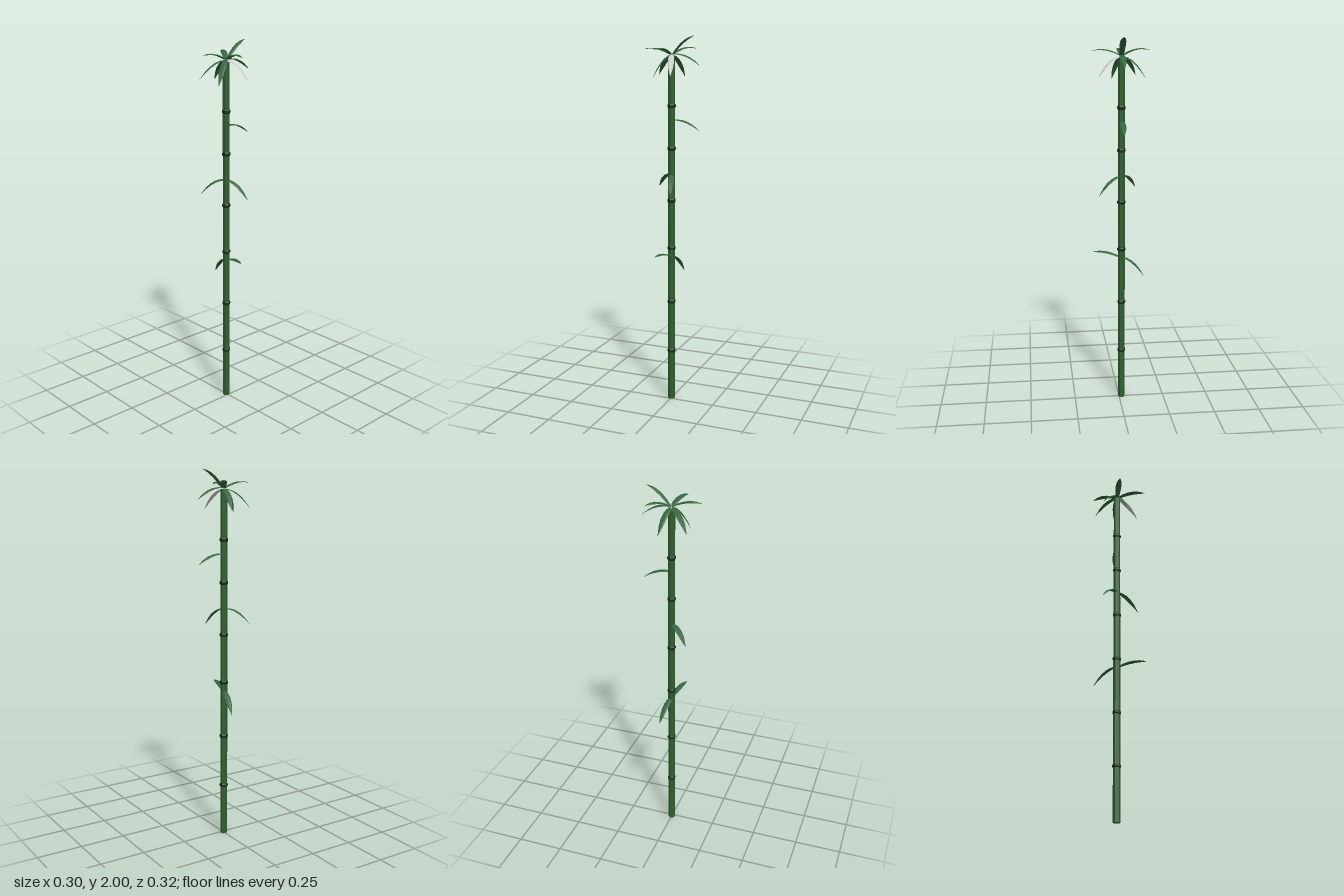
import * as THREE from 'three';

const CX = -0.013; // stalk axis
const mat = (color) => new THREE.MeshStandardMaterial({ color, flatShading: true });

// Half width along the leaf, and its closed cross-section (side, up)
const WIDTHS = [[0, 0.010], [0.18, 0.014], [0.38, 0.0165], [0.58, 0.016], [0.75, 0.0125], [0.9, 0.006], [1, 0.0004]];
const SECTION = [[1, -0.12], [0.55, 0.2], [-0.55, 0.2], [-1, -0.12], [-0.5, -0.1], [0.5, -0.1]];

// Arched leaf from the stalk at height y to a tip; bend lifts the middle
function leafGeometry(y, tip, bend) {
  const end = new THREE.Vector3(...tip);
  const out = new THREE.Vector3(tip[0] - CX, 0, tip[2]).normalize();
  const start = new THREE.Vector3(CX, y, 0).addScaledVector(out, 0.006);
  const mid = start.clone().lerp(end, 0.5);
  mid.y += bend * 2;
  const curve = new THREE.QuadraticBezierCurve3(start, mid, end);
  const side = new THREE.Vector3(0, 1, 0).cross(out);
  const pos = [], index = [], n = SECTION.length;
  WIDTHS.forEach(([t, w], i) => {
    const p = curve.getPoint(t);
    const up = curve.getTangent(t).cross(side);
    for (const [s, u] of SECTION) {
      const v = p.clone().addScaledVector(side, s * w).addScaledVector(up, u * w);
      pos.push(v.x, v.y, v.z);
    }
    if (i === 0) return;
    for (let j = 0; j < n; j++) {
      const a = (i - 1) * n + j, b = (i - 1) * n + (j + 1) % n;
      index.push(a, b, a + n, b, b + n, a + n);
    }
  });
  const g = new THREE.BufferGeometry();
  g.setAttribute('position', new THREE.Float32BufferAttribute(pos, 3));
  g.setIndex(index);
  g.computeVertexNormals();
  return g;
}

export function createModel() {
  const group = new THREE.Group();
  const stalkMat = mat(0x2f5f2f), jointMat = mat(0x16321b), leafMat = mat(0x36653f), greyMat = mat(0xcccccc);
  const add = (name, geometry, material) => {
    const mesh = new THREE.Mesh(geometry, material);
    mesh.name = name;
    group.add(mesh);
    return mesh;
  };

  // Six-sided stalk with a small grey cut on top
  const stalk = add('stalk', new THREE.CylinderGeometry(0.0185, 0.0195, 1.9, 6), [stalkMat, greyMat, stalkMat]);
  stalk.position.set(CX, 0.95, 0);
  stalk.rotation.y = Math.PI / 2;

  // Dark joint rings
  const ringProfile = [[0.017, -0.013], [0.0225, -0.005], [0.0225, 0.005], [0.017, 0.013]]
    .map(([r, h]) => new THREE.Vector2(r, h));
  for (const y of [0.285, 0.57, 0.873, 1.135, 1.415, 1.64]) {
    const ring = add('joint', new THREE.LatheGeometry(ringProfile, 6), jointMat);
    ring.position.set(CX, y, 0);
    ring.rotation.y = Math.PI / 2;
  }

  // Crown: [start height, tip, bend]
  const crown = [
    [1.905, [-0.148, 1.935, -0.09], 0.018],
    [1.905, [0.147, 1.925, 0.036], 0.018],
    [1.905, [-0.013, 1.932, 0.157], 0.015],
    [1.905, [-0.012, 1.845, -0.158], 0.02],
    [1.905, [-0.012, 2.0, -0.13], 0.018],
    [1.9, [-0.135, 1.79, -0.028], 0.024],
    [1.9, [-0.1, 1.8, 0.107], 0.022],
    [1.9, [0.03, 1.78, 0.09], 0.022],
  ];
  crown.forEach((l) => add('crownLeaf', leafGeometry(...l), leafMat));
  add('greyCrownLeaf', leafGeometry(1.9, [0.11, 1.795, -0.042], 0.022), greyMat);

  // Leaves along the stalk
  const lower = [
    [1.565, [-0.012, 1.513, -0.155], 0.018],
    [1.275, [-0.1, 1.195, 0.107], 0.024],
    [1.275, [0.11, 1.178, -0.042], 0.022],
    [0.825, [0.145, 0.85, 0.036], 0.014],
    [0.825, [-0.135, 0.72, -0.028], 0.022],
  ];
  lower.forEach((l) => add('stalkLeaf', leafGeometry(...l), leafMat));

  return group;
}
